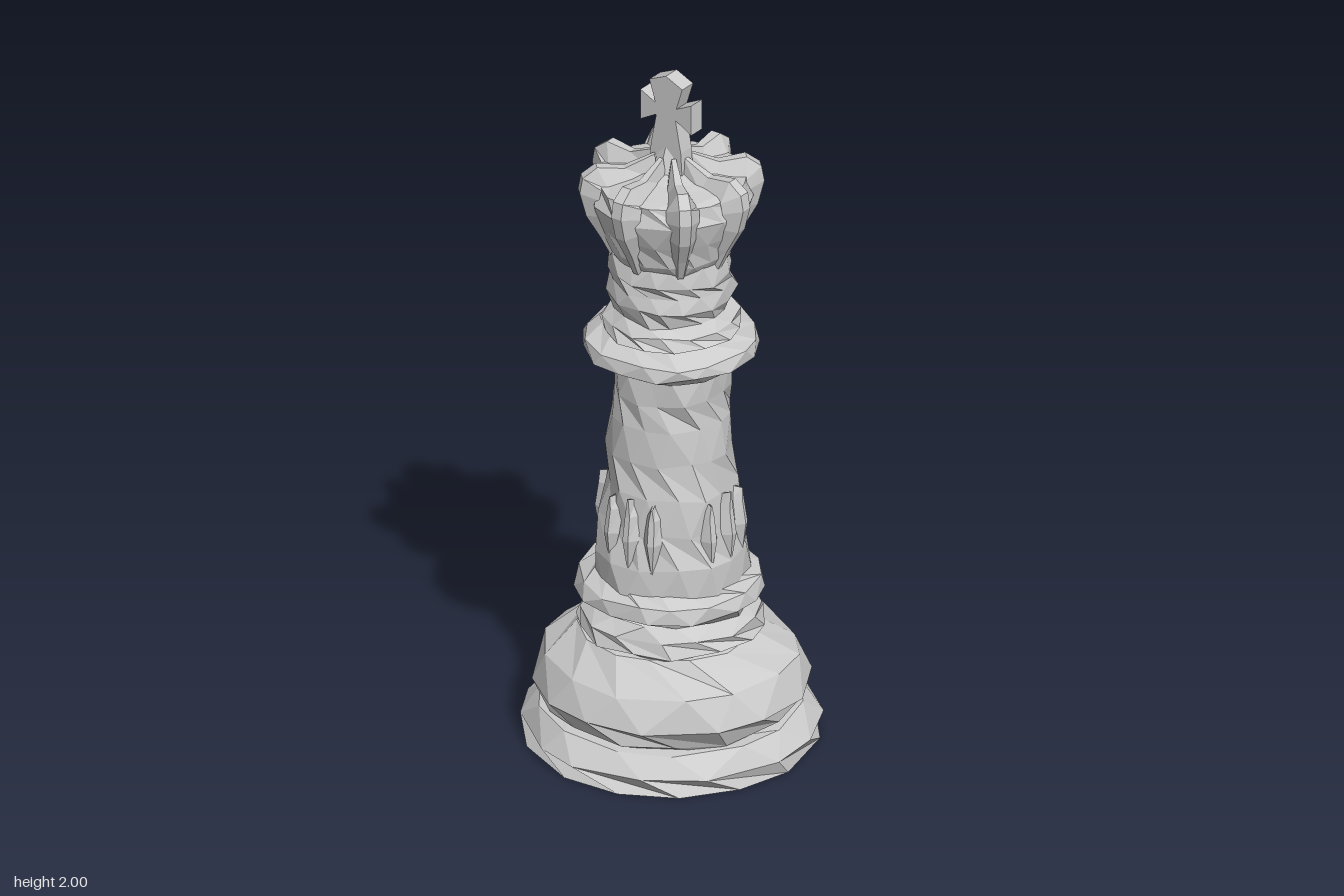
import * as THREE from 'three';

const material = new THREE.MeshStandardMaterial({ color: 0xcccccc, flatShading: true, side: THREE.DoubleSide });

// Repeatable value in -1..1 for the hand-cut facets
function wobble(i, j) {
  const s = Math.sin(i * 12.9898 + j * 78.233) * 43758.5453;
  return (s - Math.floor(s)) * 2 - 1;
}

function faceted(geometry, name) {
  const g = geometry.index ? geometry.toNonIndexed() : geometry;
  g.computeVertexNormals();
  const mesh = new THREE.Mesh(g, material);
  mesh.name = name;
  return mesh;
}

// Turned part with slightly uneven facets; profile is [radius, y] from bottom to top
function turned(name, profile, sides, rough, seed) {
  const g = new THREE.LatheGeometry(profile.map(([r, y]) => new THREE.Vector2(r, y)), sides);
  const p = g.attributes.position;
  const n = profile.length;
  for (let i = 0; i <= sides; i++) {
    for (let j = 0; j < n; j++) {
      const [r, y] = profile[j];
      const k = (i % sides) + seed;
      const angle = ((i + (j % 2) * 0.5 + 0.2 * wobble(k, j)) / sides) * Math.PI * 2;
      const radius = r > 0 ? r + rough * wobble(k, j + 20) : 0;
      const lift = r > 0 && y > 0 ? rough * 0.8 * wobble(k, j + 40) : 0;
      p.setXYZ(i * n + j, Math.sin(angle) * radius, y + lift, Math.cos(angle) * radius);
    }
  }
  return faceted(g, name);
}

// Ridge with a raised spine; rows are [spine radius, spine y, edge radius, edge y, half width]
function ridge(name, rows) {
  const pos = [];
  const idx = [];
  rows.forEach(([r, y, er, ey, w]) => {
    pos.push(-w, ey, er, -w * 0.35, y, r, w * 0.35, y, r, w, ey, er);
  });
  for (let i = 0; i < rows.length - 1; i++) {
    for (let k = 0; k < 3; k++) {
      const a = i * 4 + k;
      idx.push(a, a + 1, a + 5, a, a + 5, a + 4);
    }
  }
  const g = new THREE.BufferGeometry();
  g.setAttribute('position', new THREE.Float32BufferAttribute(pos, 3));
  g.setIndex(idx);
  return faceted(g, name);
}

export function createModel() {
  const model = new THREE.Group();

  // Foot disc and rounded base
  model.add(turned('foot', [[0, 0], [0.405, 0], [0.413, 0.05], [0.36, 0.105], [0.3, 0.11]], 14, 0.005, 1));
  model.add(turned('base', [[0.32, 0.1], [0.345, 0.115], [0.385, 0.175], [0.345, 0.26], [0.25, 0.335], [0.2, 0.34]], 14, 0.007, 2));

  // Stacked rings above the base
  model.add(turned('lowerCollar', [[0.22, 0.325], [0.258, 0.345], [0.25, 0.385], [0.215, 0.415],
    [0.258, 0.445], [0.25, 0.485], [0.2, 0.51]], 14, 0.008, 3));

  // Roughly carved shaft
  model.add(turned('shaft', [[0.212, 0.48], [0.205, 0.58], [0.192, 0.68], [0.18, 0.78], [0.172, 0.88],
    [0.165, 0.98], [0.16, 1.06], [0.157, 1.13], [0.15, 1.16]], 14, 0.009, 4));

  // Carved leaves around the shaft, three to a side
  for (let i = 0; i < 4; i++) {
    const cluster = new THREE.Group();
    cluster.name = 'leafCluster';
    [-1, 0, 1].forEach((s) => {
      const leaf = ridge('leaf', [
        [0.2, 0.57, 0.195, 0.57, 0.004],
        [0.212, 0.66, 0.185, 0.66, 0.026],
        [0.202, 0.73, 0.17, 0.73, 0.022],
        [0.2, 0.785 - Math.abs(s) * 0.02, 0.165, 0.77, 0.004],
      ]);
      leaf.rotation.y = s * 0.36;
      cluster.add(leaf);
    });
    cluster.rotation.y = (i * Math.PI) / 2;
    model.add(cluster);
  }

  // Wide collar and neck
  model.add(turned('upperCollar', [[0.14, 1.125], [0.19, 1.145], [0.245, 1.18], [0.238, 1.215],
    [0.18, 1.245], [0.15, 1.25]], 14, 0.007, 5));
  model.add(turned('neck', [[0.15, 1.225], [0.195, 1.245], [0.185, 1.275], [0.155, 1.3], [0.175, 1.345],
    [0.163, 1.385], [0.172, 1.42], [0.16, 1.47], [0.14, 1.5]], 14, 0.008, 6));

  // Crown body with a sunken top
  model.add(turned('crownBody', [[0.15, 1.45], [0.175, 1.49], [0.2, 1.56], [0.222, 1.63], [0.208, 1.685],
    [0.18, 1.69], [0.1, 1.7], [0, 1.73]], 16, 0.005, 7));

  // Eight arched ribs
  for (let i = 0; i < 8; i++) {
    const rib = ridge('crownRib', [
      [0.163, 1.455, 0.14, 1.47, 0.022],
      [0.195, 1.52, 0.165, 1.53, 0.034],
      [0.235, 1.59, 0.195, 1.6, 0.043],
      [0.253, 1.66, 0.205, 1.65, 0.046],
      [0.245, 1.705, 0.198, 1.68, 0.046],
      [0.205, 1.735, 0.18, 1.68, 0.042],
      [0.13, 1.725, 0.12, 1.685, 0.032],
      [0.045, 1.76, 0.045, 1.69, 0.018],
    ]);
    rib.rotation.y = (i * Math.PI) / 4;
    model.add(rib);
  }

  // Boss under the cross
  const boss = faceted(new THREE.CylinderGeometry(0.025, 0.068, 0.1, 8), 'crossBoss');
  boss.position.y = 1.735;
  model.add(boss);

  // Flared cross
  const half = [[0.055, 1.7], [0.05, 1.78], [0.032, 1.875], [0.085, 1.845], [0.085, 1.935], [0.035, 1.91], [0.055, 1.975]];
  const outline = [...half, [0, 2], ...half.map(([x, y]) => [-x, y]).reverse()];
  const shape = new THREE.Shape(outline.map(([x, y]) => new THREE.Vector2(x, y)));
  const crossGeometry = new THREE.ExtrudeGeometry(shape, { depth: 0.05, bevelEnabled: false });
  crossGeometry.translate(0, 0, -0.025);
  model.add(faceted(crossGeometry, 'cross'));

  return model;
}
